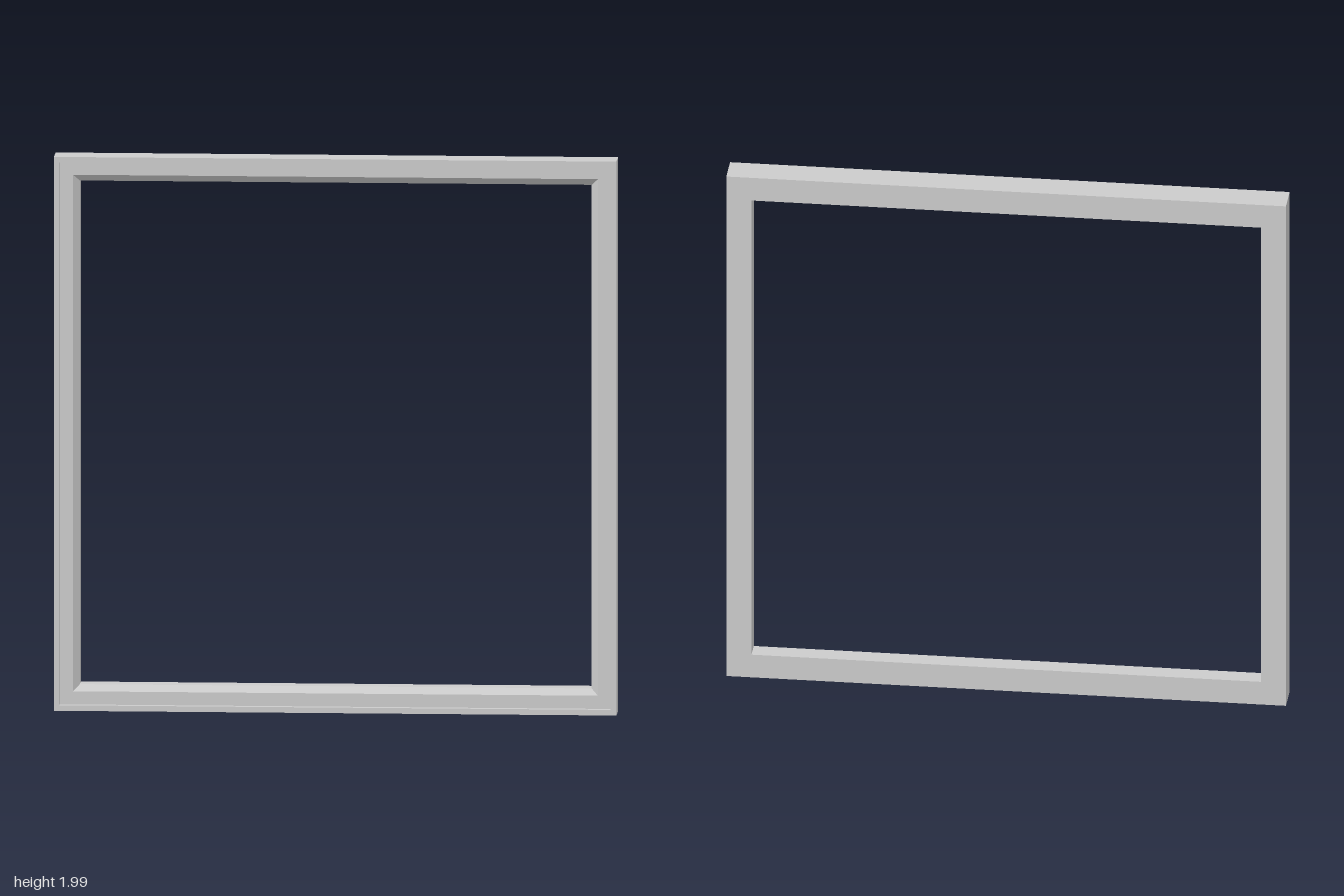
import * as THREE from 'three';

const W = 2, H = 1.985, D = 0.114;

// Moulding cross-section: [inset from the outer edge, z], running from the
// outer back edge over the front to the inner back edge
const PROFILE = [
  [0, -D / 2],
  [0, D / 2],
  [0.02, D / 2],       // raised outer lip
  [0.02, D / 2 - 0.025], // step down to the flat face
  [0.067, D / 2 - 0.025],
  [0.09, D / 2 - 0.045], // bevel towards the opening
  [0.09, -D / 2],
];

// Corner of the rectangle at a profile point, counter-clockwise from the front
const SIGNS = [[-1, -1], [1, -1], [1, 1], [-1, 1]];
function corner(k, [inset, z]) {
  const [sx, sy] = SIGNS[k % 4];
  return [sx * (W / 2 - inset), H / 2 + sy * (H / 2 - inset), z];
}

// One mitred bar between corners k and k + 1
function barGeometry(k) {
  const pos = [];
  PROFILE.forEach((p, i) => {
    const q = PROFILE[(i + 1) % PROFILE.length];
    const a = corner(k, p), b = corner(k + 1, p);
    const c = corner(k + 1, q), d = corner(k, q);
    pos.push(...a, ...b, ...c, ...a, ...c, ...d);
  });
  const geo = new THREE.BufferGeometry();
  geo.setAttribute('position', new THREE.Float32BufferAttribute(pos, 3));
  geo.computeVertexNormals();
  return geo;
}

export function createModel() {
  const group = new THREE.Group();
  group.name = 'frame';
  const material = new THREE.MeshStandardMaterial({ color: 0xcccccc, flatShading: true });
  ['bottomRail', 'leftStile', 'topRail', 'rightStile'].forEach((name, k) => {
    const bar = new THREE.Mesh(barGeometry(k), material);
    bar.name = name;
    group.add(bar);
  });
  return group;
}
